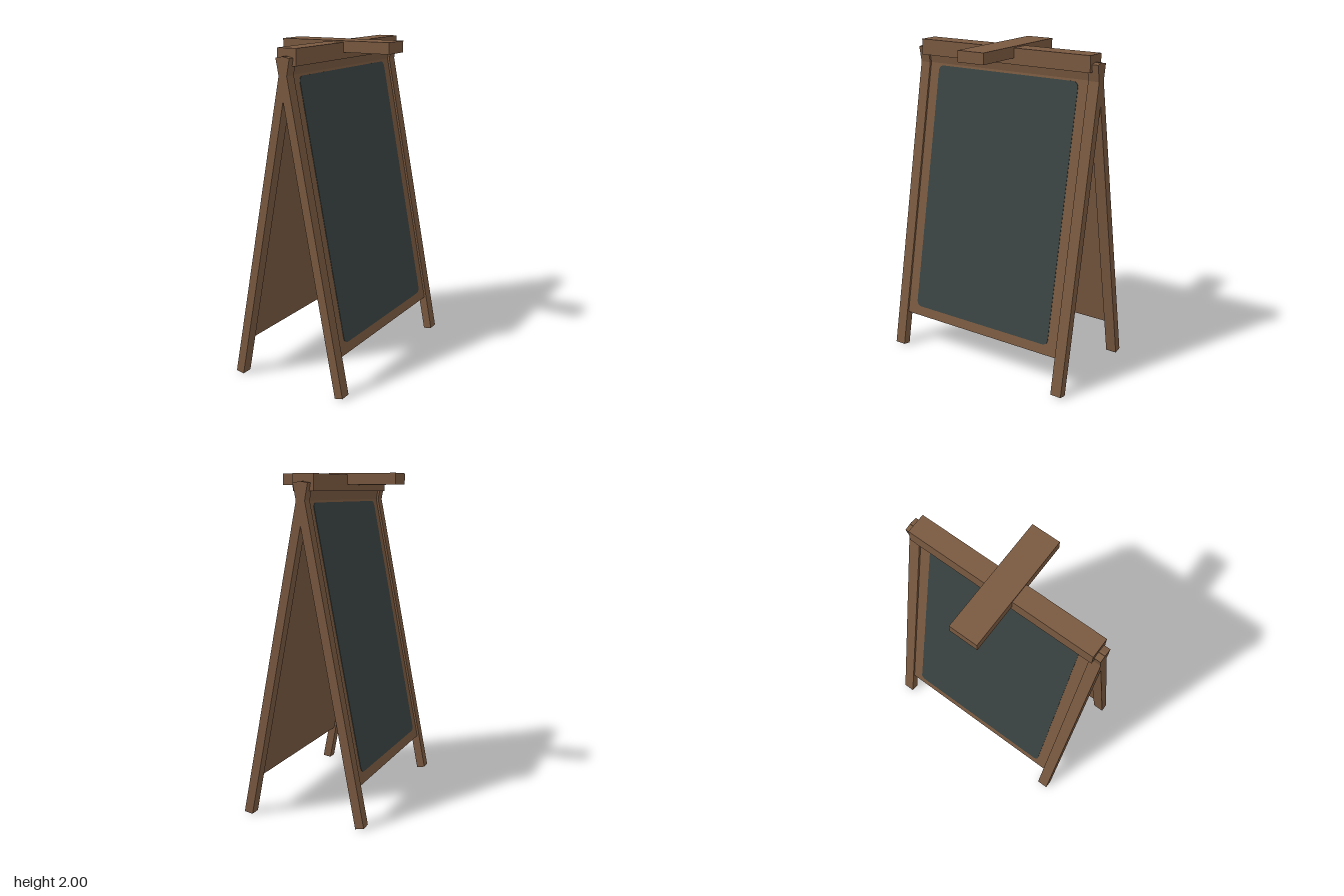
import * as THREE from 'three';

const wood = new THREE.MeshStandardMaterial({ color: 0x795940, side: THREE.DoubleSide });
wood.name = 'brown wood';
const slate = new THREE.MeshStandardMaterial({ color: 0x394342 });
slate.name = 'chalkboard slate';

function add(parent, name, geometry, material, x = 0, y = 0, z = 0) {
  const mesh = new THREE.Mesh(geometry, material);
  mesh.name = name;
  mesh.position.set(x, y, z);
  parent.add(mesh);
  return mesh;
}

// Box without its underside (faces run +x, -x, +y, -y, +z, -z)
function hollowBox(w, h, d) {
  const g = new THREE.BoxGeometry(w, h, d);
  const index = Array.from(g.index.array);
  index.splice(18, 6);
  g.setIndex(index);
  g.clearGroups();
  return g;
}

// Rectangle with rounded corners, extruded to a thin plate
function roundedPlate(w, h, r, depth) {
  const s = new THREE.Shape();
  const x = w / 2, y = h / 2;
  s.absarc(x - r, y - r, r, 0, Math.PI / 2);
  s.absarc(-x + r, y - r, r, Math.PI / 2, Math.PI);
  s.absarc(-x + r, -y + r, r, Math.PI, Math.PI * 1.5);
  s.absarc(x - r, -y + r, r, Math.PI * 1.5, Math.PI * 2);
  s.closePath();
  return new THREE.ExtrudeGeometry(s, { depth, bevelEnabled: false, curveSegments: 4 });
}

// One leaning leaf: two legs, backing panel and writing surface
function makeLeaf(name) {
  const side = new THREE.Group();
  side.name = name;
  const leaf = new THREE.Group();
  leaf.name = 'leaningFrame';
  leaf.position.set(0.352, 0.006, 0);
  leaf.rotation.z = Math.atan(0.1917);
  side.add(leaf);

  for (const s of [-1, 1]) {
    add(leaf, 'leg', new THREE.BoxGeometry(0.052, 1.973, 0.07), wood, 0, 0.9865, s * 0.605);
  }
  add(leaf, 'panel', new THREE.BoxGeometry(0.026, 1.71, 1.14), wood, 0, 1.078, 0);
  const board = add(leaf, 'chalkboard', roundedPlate(1.005, 1.57, 0.035, 0.004), slate, 0.0115, 1.069, 0);
  board.rotation.y = Math.PI / 2;
  return side;
}

export function createModel() {
  const model = new THREE.Group();
  model.name = 'chalkboardEasel';

  const left = makeLeaf('leftLeaf');
  const right = makeLeaf('rightLeaf');
  right.rotation.y = Math.PI;
  model.add(left, right);

  // Ridge cap over the leaves, and the handle lying across it
  add(model, 'ridgeBeam', hollowBox(0.124, 0.097, 1.2), wood, 0, 1.9425, 0);
  add(model, 'crossHandle', hollowBox(0.73, 0.068, 0.18), wood, 0, 1.966, 0);
  return model;
}
